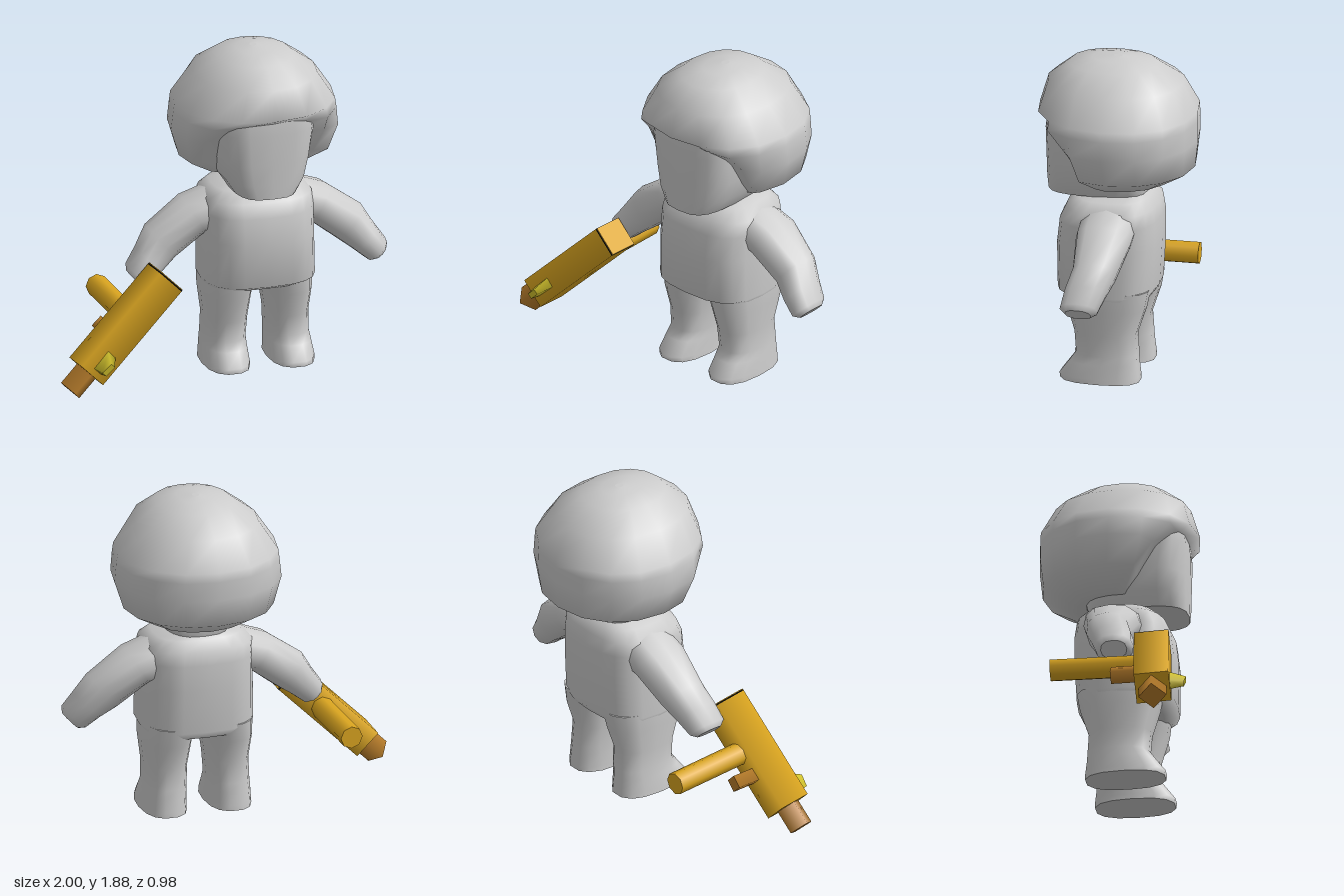
import * as THREE from 'three';

const V = (x, y, z) => new THREE.Vector3(x, y, z);
const mat = (name, color) => {
  const m = new THREE.MeshStandardMaterial({ color });
  m.name = name;
  return m;
};

// Smooth skin over rings of points, closed with flat caps
function loft(rings) {
  const n = rings[0].length, pos = [], idx = [];
  rings.forEach(r => r.forEach(p => pos.push(p.x, p.y, p.z)));
  for (let i = 0; i < rings.length - 1; i++) {
    for (let j = 0; j < n; j++) {
      const a = i * n + j, b = i * n + (j + 1) % n, c = a + n, d = b + n;
      idx.push(a, c, b, b, c, d);
    }
  }
  [rings[0], rings[rings.length - 1]].forEach((r, end) => {
    const base = pos.length / 3, mid = V(0, 0, 0);
    r.forEach(p => { pos.push(p.x, p.y, p.z); mid.addScaledVector(p, 1 / n); });
    pos.push(mid.x, mid.y, mid.z);
    for (let j = 0; j < n; j++) {
      const a = base + j, b = base + (j + 1) % n;
      if (end) idx.push(a, base + n, b);
      else idx.push(a, b, base + n);
    }
  });
  const g = new THREE.BufferGeometry();
  g.setAttribute('position', new THREE.Float32BufferAttribute(pos, 3));
  g.setIndex(idx);
  g.computeVertexNormals();
  return g;
}

// Ring around a centre; a lower power gives a boxier outline
function ring(c, u, v, n, power) {
  return Array.from({ length: n }, (_, j) => {
    const t = j / n * Math.PI * 2;
    const f = k => Math.abs(k) < 1e-6 ? 0 : Math.sign(k) * Math.abs(k) ** power;
    return c.clone().addScaledVector(u, f(Math.cos(t))).addScaledVector(v, f(Math.sin(t)));
  });
}

// Level ring from height, half width, back z and front z
const level = (y, w, zb, zf, n, power, cx = 0) =>
  ring(V(cx, y, (zb + zf) / 2), V(w, 0, 0), V(0, 0, (zf - zb) / 2), n, power);

// Tapered bar from a to b; half sizes wide (sideways) and deep (towards z or up)
function bar(a, b, wide, deep, { sides = 4, turn = Math.PI / 4, taper = 1, ref = V(0, 0, 1) } = {}) {
  const dir = b.clone().sub(a), len = dir.length();
  dir.normalize();
  const x = dir.clone().cross(ref).normalize(), z = x.clone().cross(dir);
  const g = new THREE.CylinderGeometry(taper, 1, len, sides);
  g.rotateY(turn).scale(wide, 1, deep);
  const m = new THREE.Matrix4().makeBasis(x, dir, z);
  m.setPosition(a.clone().add(b).multiplyScalar(0.5));
  return g.applyMatrix4(m);
}

export function createModel() {
  const model = new THREE.Group();
  const grey = mat('grey', 0xcccccc), gold = mat('gold', 0xdaa520);
  const bronze = mat('bronze', 0xb87d2b), yellow = mat('yellow', 0xd2c22c);
  const black = mat('black', 0x000000);
  const figure = new THREE.Group();
  figure.name = 'figure';
  figure.position.x = 0.24;
  const blaster = new THREE.Group();
  blaster.name = 'blaster';
  model.add(figure, blaster);
  const add = (parent, name, geo, material) => {
    const m = new THREE.Mesh(geo, material);
    m.name = name;
    parent.add(m);
  };

  // Hair: full rings, cut back at the front below the fringe
  const hair = [
    [1.16, 0.24, -0.28, 0.24, 0.03], [1.175, 0.29, -0.33, 0.3, 0.04],
    [1.26, 0.43, -0.47, 0.38, 0.11], [1.42, 0.48, -0.487, 0.42, 0.21],
    [1.53, 0.468, -0.487, 0.43, 0.33], [1.585, 0.46, -0.485, 0.425, 1],
    [1.75, 0.35, -0.4, 0.375, 1], [1.85, 0.215, -0.25, 0.25, 1],
    [1.88, 0.1, -0.13, 0.12, 1], [1.89, 0.02, -0.05, 0, 1]
  ].map(([y, w, zb, zf, cut]) => {
    const r = level(y, w, zb, zf, 16, 0.92);
    r.forEach(p => { p.z = Math.min(p.z, cut); });
    return r;
  });
  add(figure, 'hair', loft(hair), grey);

  // Face and neck
  const face = [
    [1.095, 0.18, -0.2, 0.365], [1.18, 0.235, -0.22, 0.368],
    [1.3, 0.265, -0.2, 0.368], [1.48, 0.285, -0.1, 0.37], [1.57, 0.28, -0.1, 0.36]
  ].map(([y, w, zb, zf]) => level(y, w, zb, zf, 20, 0.65));
  add(figure, 'face', loft(face), grey);

  // Torso
  const torso = [
    [0.5, 0.305, -0.24, 0.22], [0.54, 0.325, -0.265, 0.3], [0.8, 0.32, -0.28, 0.305],
    [0.95, 0.32, -0.278, 0.288], [1.03, 0.315, -0.265, 0.25],
    [1.085, 0.25, -0.22, 0.19], [1.11, 0.13, -0.18, 0.08]
  ].map(([y, w, zb, zf]) => level(y, w, zb, zf, 20, 0.7));
  add(figure, 'torso', loft(torso), grey);

  for (const s of [1, -1]) {
    const side = s > 0 ? 'left' : 'right';

    // Leg with foot
    const leg = [
      [0.02, 0.19, 0.13, -0.2, 0.26], [0.05, 0.19, 0.128, -0.2, 0.265],
      [0.13, 0.188, 0.122, -0.19, 0.205], [0.18, 0.185, 0.118, -0.187, 0.17],
      [0.3, 0.18, 0.12, -0.18, 0.18], [0.45, 0.178, 0.137, -0.23, 0.225],
      [0.56, 0.165, 0.15, -0.25, 0.24]
    ].map(([y, x, w, zb, zf]) => level(y, w, zb, zf, 14, 0.8, s * x));
    add(figure, side + 'Leg', loft(leg), grey);

    // Arm: x, y, z of the centre, direction, half height, half depth
    const arm = [
      [0.2, 0.95, -0.02, 1, -0.25, 0.13, 0.16], [0.36, 0.91, -0.025, 0.85, -0.5, 0.115, 0.16],
      [0.55, 0.77, -0.015, 0.75, -0.65, 0.12, 0.125], [0.63, 0.68, 0.02, 0.7, -0.7, 0.095, 0.12],
      [0.7, 0.605, 0.04, 0.7, -0.7, 0.08, 0.11], [0.72, 0.585, 0.04, 0.7, -0.7, 0.055, 0.075]
    ].map(([x, y, z, dx, dy, h, d]) => ring(V(s * x, y, z),
      V(dy, -dx * s, 0).normalize().multiplyScalar(h), V(0, 0, d), 12, 0.85));
    add(figure, side + 'Arm', loft(arm), grey);
  }

  // Blaster body, running down and outward from the hand
  const back = V(-0.362, 0.646, 0.245), front = V(-0.845, 0.163, 0.315);
  const along = t => back.clone().lerp(front, t);
  const q = Math.SQRT2;
  add(blaster, 'barrel', bar(back, front, 0.088 * q, 0.098 * q), gold);
  add(blaster, 'rearSeal', bar(back, along(-0.012), 0.088 * q, 0.098 * q), black);
  add(blaster, 'rearPlate', bar(along(-0.012), along(-0.018), 0.086 * q, 0.096 * q), gold);
  add(blaster, 'nozzle', bar(along(0.98), along(1.205), 0.075, 0.08, { turn: 0 }), bronze);

  // Fittings on the body, lined up with it
  const dir = along(1).sub(along(0)).normalize();
  add(blaster, 'sight', bar(V(-0.765, 0.235, 0.39), V(-0.765, 0.225, 0.488),
    0.03 * q, 0.065 * q, { taper: 0.55, ref: dir }), yellow);
  add(blaster, 'handle', bar(V(-0.57, 0.43, 0.18), V(-0.595, 0.425, -0.302),
    0.065, 0.065, { sides: 8, turn: 0, ref: dir }), gold);
  add(blaster, 'magazine', bar(V(-0.68, 0.33, 0.22), V(-0.68, 0.33, 0.055),
    0.037 * q, 0.037 * q, { ref: dir }), bronze);

  return model;
}
